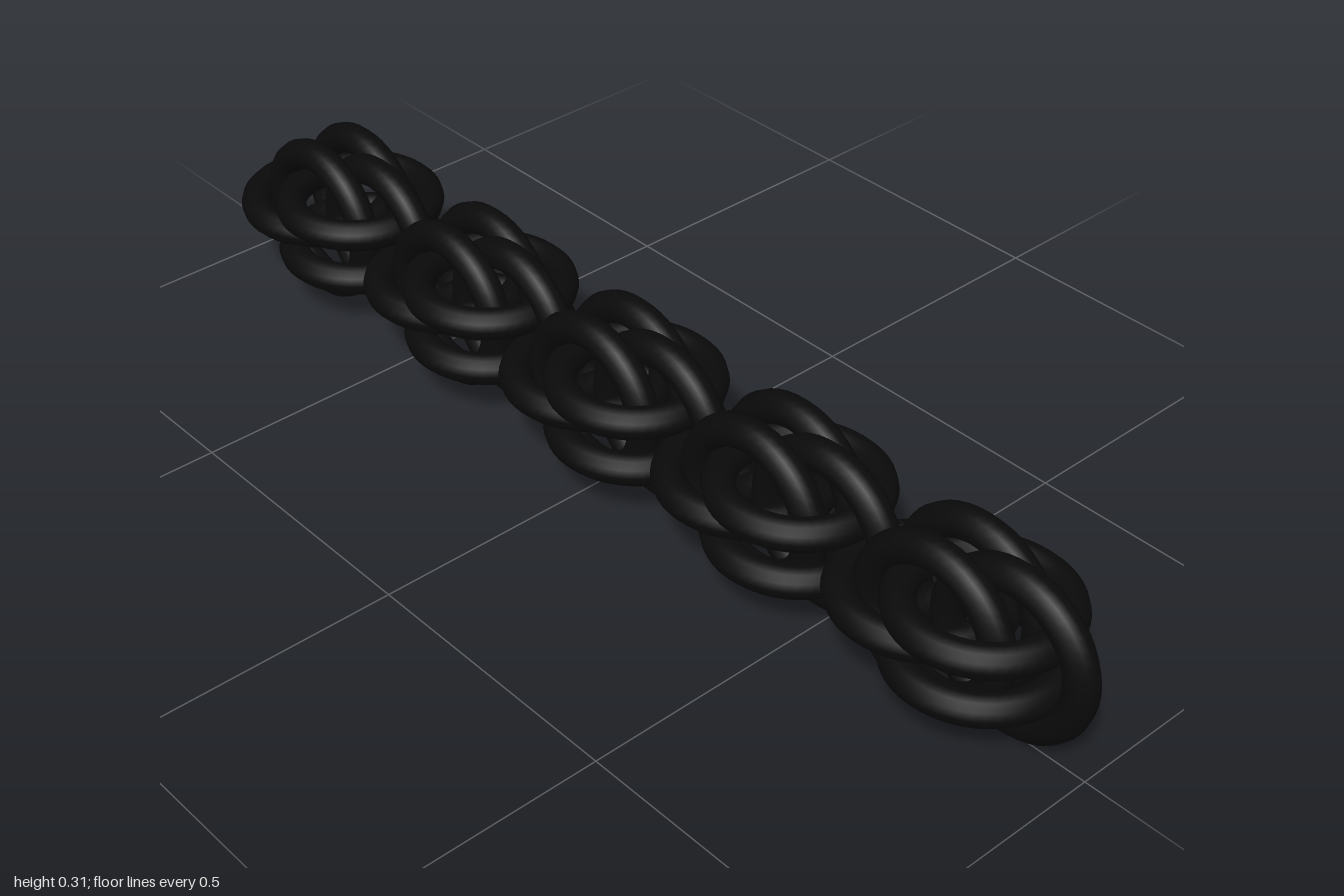
import * as THREE from 'three';

const OUTER = 0.154, TUBE = 0.028, Y = 0.156;
const UNITS = 5, PITCH = 0.379, START = -0.846, PAIR = 0.046;

export function createModel() {
  const chain = new THREE.Group();
  chain.name = 'chain';
  const material = new THREE.MeshStandardMaterial({ color: 0x0a0a0a });
  const ring = new THREE.TorusGeometry(OUTER - TUBE, TUBE, 12, 48);

  function addRing(unit, name, x, offset, horizontal) {
    const link = new THREE.Mesh(ring, material);
    link.name = name;
    if (horizontal) {
      link.rotation.x = Math.PI / 2;
      link.position.set(x, offset, 0);
    } else {
      link.position.set(x, 0, offset);
    }
    unit.add(link);
  }

  // Each unit: single flat ring, upright pair, flat pair, single upright ring
  for (let i = 0; i < UNITS; i++) {
    const unit = new THREE.Group();
    unit.name = `chainUnit${i + 1}`;
    unit.position.set(START + i * PITCH, Y, 0);
    addRing(unit, 'flatConnectorRing', 0, 0, true);
    for (const side of [-1, 1]) {
      addRing(unit, 'uprightPairRing', 0.061, side * PAIR, false);
      addRing(unit, 'flatPairRing', 0.115, side * PAIR, true);
    }
    addRing(unit, 'uprightConnectorRing', 0.176, 0, false);
    chain.add(unit);
  }
  return chain;
}
